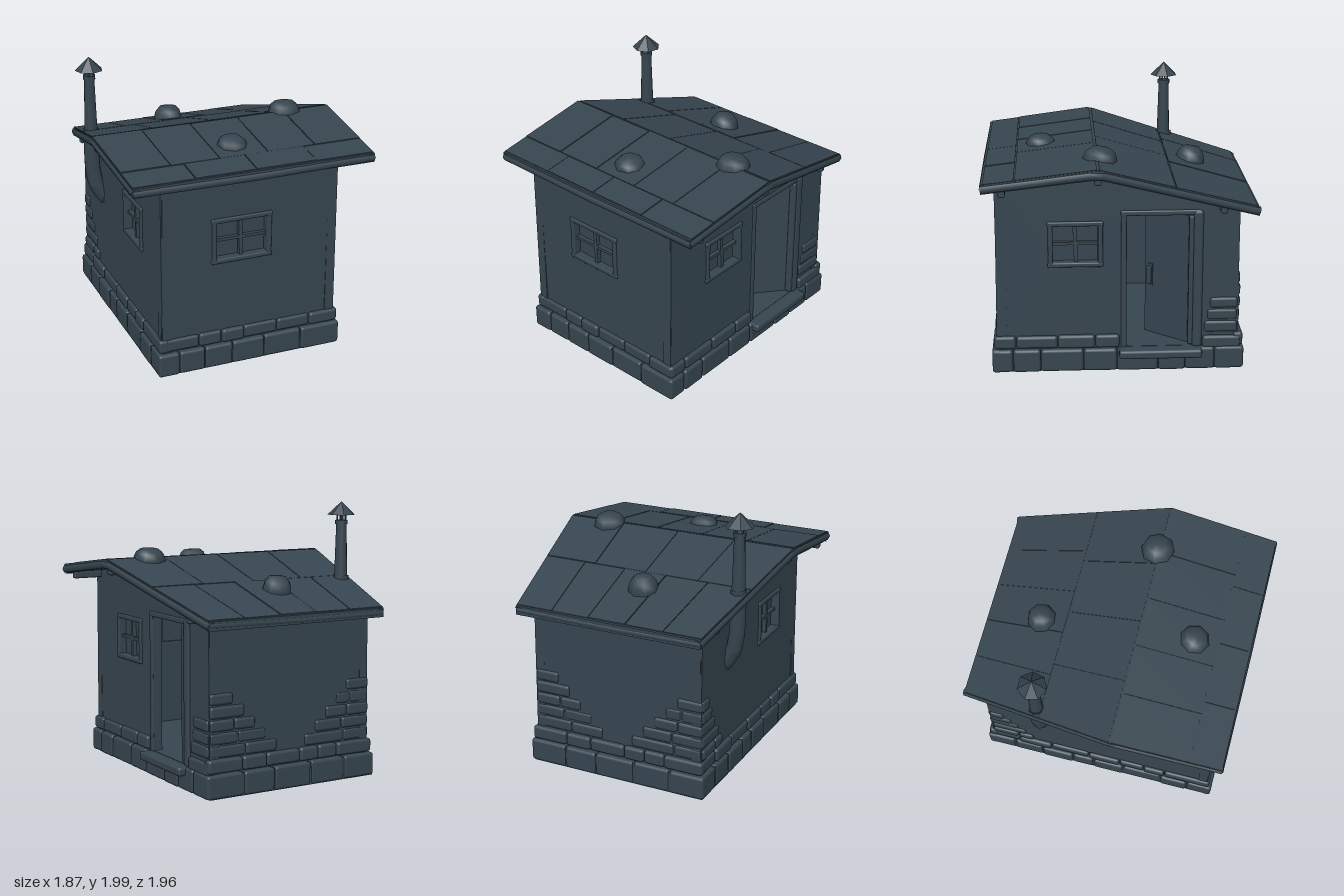
import * as THREE from 'three';
import { toCreasedNormals } from 'three/addons/utils/BufferGeometryUtils.js';
import { RoundedBoxGeometry } from 'three/addons/geometries/RoundedBoxGeometry.js';

const slate = new THREE.MeshStandardMaterial({ color: 0x36454f });
slate.name = 'dark slate';

let seed = 7;
const rand = () => (seed = (seed * 16807) % 2147483647) / 2147483647;

// Roof line: height and half width at any z
const RIDGE = 0.17, END = 0.97, THICK = 0.065;
const roofY = z => z > RIDGE ? 1.595 - (z - RIDGE) * 0.125 : 1.595 - (RIDGE - z) * 0.295;
const roofW = z => z > RIDGE ? 0.925 - (z - RIDGE) * 0.035 : 0.925 - (RIDGE - z) * 0.175;

// Wall faces
const X0 = -0.68, X1 = 0.655, Z0 = -0.845, Z1 = 0.89, T = 0.07;

export function createModel() {
  const model = new THREE.Group();
  model.name = 'hut';

  const add = (name, geo, x = 0, y = 0, z = 0, parent = model) => {
    const m = new THREE.Mesh(geo, slate);
    m.name = name;
    m.position.set(x, y, z);
    parent.add(m);
    return m;
  };
  const box = (name, w, h, d, x, y, z, parent) => add(name, new THREE.BoxGeometry(w, h, d), x, y, z, parent);
  const soft = (name, w, h, d, x, y, z, parent) =>
    add(name, new RoundedBoxGeometry(w, h, d, 2, Math.min(w, h, d) * 0.3), x, y, z, parent);

  // Prism through sections [z, xLeft, xRight, top, bottom], ordered front to back
  const prism = (name, sections) => {
    const pos = [], idx = [], n = sections.length;
    for (const [z, a, b, t, u] of sections) pos.push(a, t, z, b, t, z, b, u, z, a, u, z);
    for (let i = 0; i < n - 1; i++) for (let k = 0; k < 4; k++) {
      const a = i * 4 + k, b = i * 4 + (k + 1) % 4;
      idx.push(a, b, b + 4, a, b + 4, a + 4);
    }
    const e = n * 4 - 4;
    idx.push(0, 3, 2, 0, 2, 1, e, e + 1, e + 2, e, e + 2, e + 3);
    const g = new THREE.BufferGeometry();
    g.setAttribute('position', new THREE.Float32BufferAttribute(pos, 3));
    g.setIndex(idx);
    const flat = g.toNonIndexed();
    flat.computeVertexNormals();
    return add(name, flat);
  };

  // Walls: outline with rectangular holes [u centre, y centre, width, height]
  const wall = (name, outline, holes) => {
    const shape = new THREE.Shape(outline.map(p => new THREE.Vector2(...p)));
    for (const [u, y, w, h] of holes) {
      shape.holes.push(new THREE.Path([[-1, -1], [-1, 1], [1, 1], [1, -1]]
        .map(([a, b]) => new THREE.Vector2(u + a * w / 2, y + b * h / 2))));
    }
    return add(name, new THREE.ExtrudeGeometry(shape, { depth: T, bevelEnabled: false }));
  };
  const top = z => roofY(z) - THICK + 0.02;
  const gable = [[-Z1 - 0.01, 0.1], [-Z0 + 0.01, 0.1], [-Z0 - 0.005, top(Z0)], [-RIDGE, top(RIDGE)], [-Z1 + 0.005, top(Z1)]];
  const sideWindow = [-0.325, 0.98, 0.32, 0.27], frontWindow = [-0.08, 0.98, 0.38, 0.27];
  const doorway = [0.28, 0.69, 0.48, 1.0];
  const right = wall('wallLeft', gable, [sideWindow, doorway]);
  right.rotation.y = Math.PI / 2;
  right.position.x = X1 - T;
  const left = wall('wallRight', gable, [sideWindow]);
  left.rotation.y = Math.PI / 2;
  left.position.x = X0;
  const rect = z => [[X0 - 0.01, 0.1], [X1 + 0.005, 0.1], [X1 - 0.005, top(z)], [X0 + 0.015, top(z)]];
  wall('wallFront', rect(Z1), [frontWindow]).position.z = Z1 - T;
  wall('wallBack', rect(Z0), []).position.z = Z0;

  // Windows: surround, sunken pane and cross bars
  const addWindow = (name, w, h, x, y, z, turn) => {
    const g = new THREE.Group();
    g.name = name;
    g.position.set(x, y, z);
    g.rotation.y = turn;
    model.add(g);
    box('pane', w + 0.02, h + 0.02, 0.008, 0, 0, -0.05, g);
    for (const s of [-1, 1]) {
      soft('frameSide', 0.035, h + 0.07, 0.05, s * (w / 2 + 0.0175), 0, -0.01, g);
      soft('frameRail', w + 0.08, 0.035, 0.05, 0, s * (h / 2 + 0.0175), -0.01, g);
    }
    box('crossBarUpright', 0.028, h, 0.03, 0, 0, -0.03, g).rotation.z = 0.03;
    box('crossBarLevel', w, 0.022, 0.03, 0, 0, -0.03, g);
  };
  addWindow('windowFront', 0.38, 0.27, -0.08, 0.98, Z1, 0);
  addWindow('windowLeft', 0.32, 0.27, X1, 0.98, 0.325, Math.PI / 2);
  addWindow('windowRight', 0.32, 0.27, X0, 0.98, 0.325, -Math.PI / 2);

  // Door standing ajar, hinged at the rear jamb
  const door = new THREE.Group();
  door.name = 'door';
  door.position.set(X1 - 0.03, 0, -0.5);
  door.rotation.y = -0.69;
  model.add(door);
  box('doorPanel', 0.03, 0.97, 0.4, -0.015, 0.68, 0.2, door);
  soft('doorHandle', 0.03, 0.14, 0.03, 0.02, 0.65, 0.35, door);
  box('handlePlate', 0.01, 0.17, 0.04, 0.002, 0.65, 0.35, door);

  // Door surround and step
  soft('jambRear', 0.07, 1.04, 0.07, X1 - 0.015, 0.7, -0.55);
  soft('jambPost', 0.05, 0.98, 0.035, X1 - 0.01, 0.69, -0.5);
  soft('jambFront', 0.06, 1.04, 0.04, X1 - 0.02, 0.7, -0.02);
  soft('lintel', 0.06, 0.04, 0.58, X1 - 0.02, 1.205, -0.285);
  soft('doorStep', 0.14, 0.065, 0.6, 0.68, 0.155, -0.285);
  box('floor', X1 - X0 - 0.02, 0.02, Z1 - Z0 - 0.02, (X0 + X1) / 2, 0.18, (Z0 + Z1) / 2);

  // Stone plinth: solid core with two courses of uneven blocks
  box('plinthCore', 1.38, 0.16, 1.8, -0.02, 0.095, 0.015);
  const course = (y, h, a, b, face, alongX, out) => {
    let p = a;
    while (p < b - 0.01) {
      let len = 0.16 + rand() * 0.16;
      if (b - p - len < 0.1) len = b - p;
      const d = 0.07, o = face + Math.sign(face) * (out - d / 2 + (rand() - 0.5) * 0.012);
      const hh = h - rand() * 0.008, c = p + len / 2;
      if (alongX) soft('plinthStone', len - 0.004, hh, d, c, y, o);
      else soft('plinthStone', d, hh, len - 0.004, o, y, c);
      p += len;
    }
  };
  for (const [y, h, out] of [[0.1, 0.175, 0.04], [0.24, 0.1, 0.025]]) {
    course(y, h, X0 - out, X1 + out, Z1, true, out);
    course(y, h, X0 - out, X1 + out, Z0, true, out + 0.01);
    course(y, h, Z0 - out, Z1 + out, X0, false, out);
    if (y < 0.2) course(y, h, Z0 - out, Z1 + out, X1, false, out);
    else {
      course(y, h, 0.01, Z1 + out, X1, false, out);
      course(y - 0.02, h, Z0 - out, -0.59, X1, false, out);
    }
  }

  // Exposed stones climbing the rear corners
  for (let r = 0; r < 5; r++) {
    const y = 0.335 + r * 0.092, reach = 0.55 - r * 0.09;
    course(y, 0.088, X0 - 0.01, X0 + reach, Z0, true, 0.012);
    course(y, 0.088, X1 - reach, X1, Z0, true, 0.012);
    course(y, 0.088, Z0, Z0 + reach * 0.6, X0, false, 0.016);
    if (r < 3) course(y, 0.088, Z0, -0.6 - r * 0.02, X1, false, 0.012);
  }

  // Roof slab with laid boards
  prism('roofSlab', [END, RIDGE, -END].map(z => [z, -roofW(z), roofW(z), roofY(z), roofY(z) - THICK]));
  const rows = [[0.96, 0.74], [0.74, 0.175], [0.165, -0.37], [-0.37, -0.96]];
  rows.forEach(([za, zb], r) => {
    const cols = 4 + r % 2;
    for (let i = 0; i < cols; i++) {
      const lift = 0.004 + rand() * 0.005;
      prism('roofBoard', [za - 0.004, zb + 0.004].map(z => [z,
        roofW(z) * (-1 + 2 * i / cols) + 0.003, roofW(z) * (-1 + 2 * (i + 1) / cols) - 0.003,
        roofY(z) + lift, roofY(z) - 0.01]));
    }
  });

  // Rounded edge poles round the roof
  const pole = (name, pts, r) => add(name, new THREE.TubeGeometry(
    new THREE.CatmullRomCurve3(pts.map(p => new THREE.Vector3(...p)), false, 'catmullrom', 0.05), 24, r, 8));
  for (const s of [-1, 1]) {
    pole('gablePole', [END, 0.57, RIDGE, -0.4, -END].map(z => [s * (roofW(z) - 0.02), roofY(z) - 0.035, z]), 0.033);
  }
  pole('eavePoleFront', [[-0.9, 1.455, 0.945], [0, 1.45, 0.95], [0.9, 1.46, 0.945]], 0.034);
  pole('eavePoleBack', [[-0.72, 1.225, -0.95], [0, 1.22, -0.95], [0.72, 1.23, -0.95]], 0.026);

  // Rafter ends under the side eaves
  for (const s of [-1, 1]) for (const z of [0.83, RIDGE, -0.72]) {
    const reach = roofW(z) - 0.64;
    soft('rafterEnd', reach, 0.06, 0.05, s * (0.62 + reach / 2), roofY(z) - THICK - 0.02, z);
  }

  // Flattened stones weighing down the roof
  for (const [x, z, r, peak] of [[-0.08, -0.55, 0.108, 1.49], [0.58, 0.15, 0.12, 1.665], [-0.02, 0.56, 0.11, 1.61]]) {
    const base = roofY(z) - 0.04, h = peak - base;
    const profile = [[0, 0], [1, 0], [1.02, 0.35], [0.88, 0.72], [0.6, 0.96], [0, 1]]
      .map(([a, b]) => new THREE.Vector2(a * r, b * h));
    const g = toCreasedNormals(new THREE.LatheGeometry(profile, 8), 0.9);
    add('roofStone', g, x, base, z).rotation.set(z > RIDGE ? 0.1 : -0.12, r * 20, 0);
  }

  // Stove pipe: elbow out of the wall, tapered flue, collar and cap
  const PX = -0.75, PZ = -0.41;
  pole('pipeElbow', [[-0.6, 0.83, PZ], [-0.67, 0.9, PZ], [-0.725, 1.0, PZ], [-0.745, 1.12, PZ], [PX, 1.25, PZ], [PX, 1.45, PZ]], 0.06);
  add('flue', new THREE.CylinderGeometry(0.038, 0.052, 0.5, 12), PX, 1.6, PZ);
  add('flueCollar', new THREE.CylinderGeometry(0.046, 0.046, 0.03, 12), PX, 1.845, PZ);
  for (let i = 0; i < 4; i++) {
    const a = i * Math.PI / 2 + 0.4;
    box('capStrut', 0.01, 0.07, 0.01, PX + Math.cos(a) * 0.032, 1.88, PZ + Math.sin(a) * 0.032);
  }
  add('flueCap', toCreasedNormals(new THREE.ConeGeometry(0.105, 0.1, 7), 0.5), PX, 1.95, PZ);

  return model;
}
